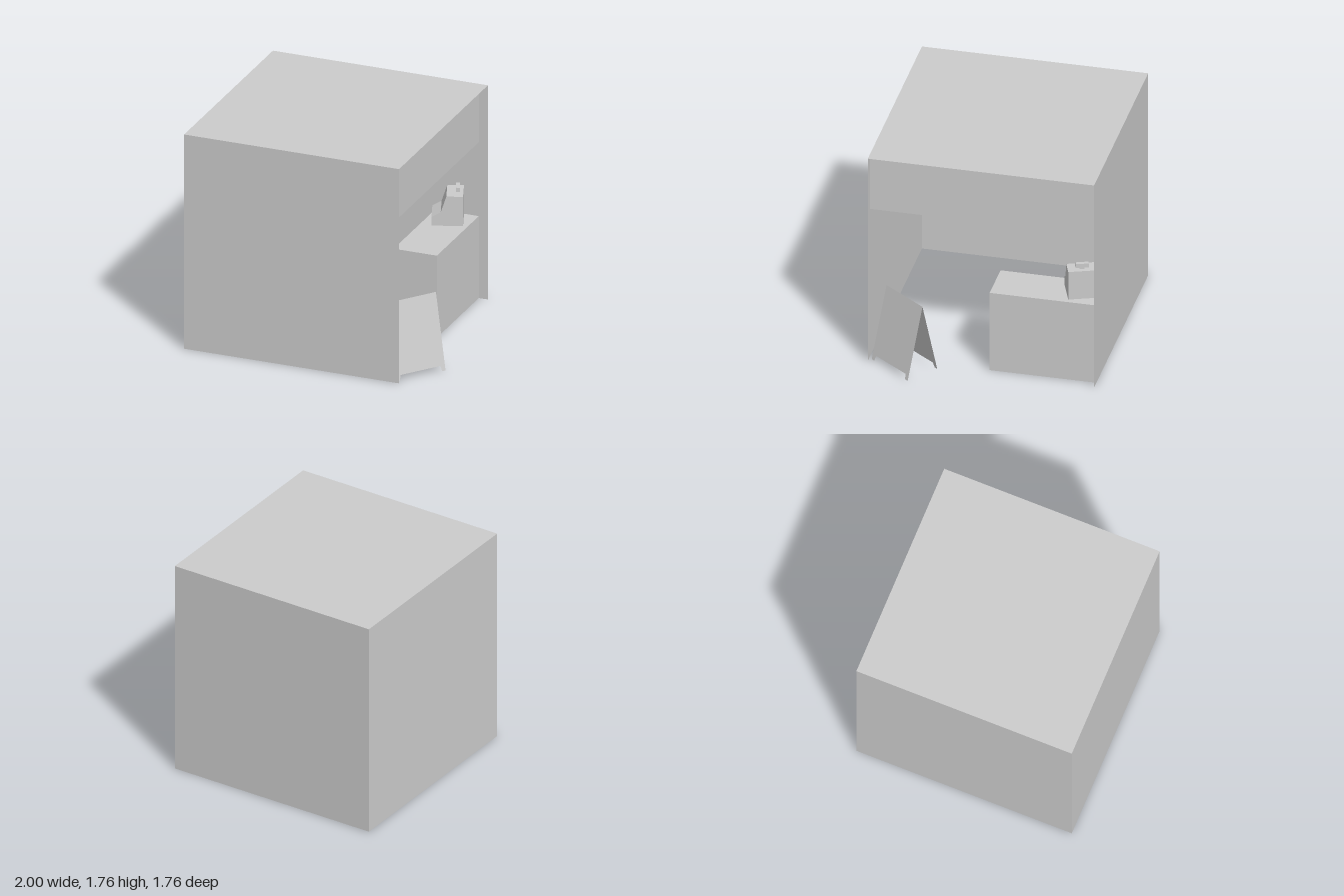
import * as THREE from 'three';

const material = new THREE.MeshStandardMaterial({ color: 0xcccccc, flatShading: true, side: THREE.DoubleSide });

function add(parent, name, geometry, x = 0, y = 0, z = 0) {
  const mesh = new THREE.Mesh(geometry, material);
  mesh.name = name;
  mesh.position.set(x, y, z);
  parent.add(mesh);
  return mesh;
}

function addGroup(parent, name, x, y, z, turn) {
  const group = new THREE.Group();
  group.name = name;
  group.position.set(x, y, z);
  group.rotation.y = turn;
  parent.add(group);
  return group;
}

// Thin sheets named by the axis they face
const sheetX = (depth, height) => new THREE.PlaneGeometry(depth, height).rotateY(Math.PI / 2);
const sheetY = (width, depth) => new THREE.PlaneGeometry(width, depth).rotateX(-Math.PI / 2);
const sheetZ = (width, height) => new THREE.PlaneGeometry(width, height);
const shapeOf = (points) => new THREE.Shape(points.map(([x, y]) => new THREE.Vector2(x, y)));

const S = 1.765;        // side of the cubic stall
const H = S / 2;
const MID = 0.765 - H;  // x of the stall centre

function addStall(model) {
  // Shell: open on the right and underneath
  add(model, 'frontWall', sheetZ(S, S), MID, H, H);
  add(model, 'backWall', sheetZ(S, S).rotateY(Math.PI), MID, H, -H);
  add(model, 'leftWall', sheetX(S, S).rotateY(Math.PI), -1, H, 0);
  add(model, 'roof', sheetY(S, S), MID, S, 0);

  // Hanging header over the opening
  add(model, 'header', new THREE.BoxGeometry(0.355, 0.48, S), 0.5125, 1.525, 0);

  // Wall shelves
  for (const y of [0.53, 0.79, 1.05]) add(model, 'wallShelf', sheetY(0.345, S), -0.8275, y, 0);
}

function addCounter(model) {
  // Counter open at the staff side, with an inner shelf
  const counter = addGroup(model, 'counter', 0, 0, 0, 0);
  const depth = H - 0.05, z = -(H + 0.05) / 2;
  add(counter, 'counterTop', sheetY(0.355, depth), 0.5125, 0.675, z);
  add(counter, 'counterFront', sheetX(depth, 0.675), 0.69, 0.3375, z);
  add(counter, 'counterEnd', sheetZ(0.355, 0.675), 0.5125, 0.3375, -0.05);
  add(counter, 'counterShelf', sheetY(0.355, depth), 0.5125, 0.2, z);
}

function addRegister(model) {
  // Till with a stepped profile facing the staff
  const register = addGroup(model, 'cashRegister', 0.655, 0.677, -0.655, 0.361);
  const profile = shapeOf([[0, 0], [0, 0.24], [-0.127, 0.24], [-0.17, 0.11], [-0.24, 0.07], [-0.24, 0]]);
  add(register, 'registerBody', new THREE.ExtrudeGeometry(profile, { depth: 0.23, bevelEnabled: false }), 0, 0, -0.23);
  add(register, 'displayNeck', new THREE.BoxGeometry(0.015, 0.016, 0.04), -0.042, 0.248, -0.11);
  add(register, 'display', new THREE.BoxGeometry(0.03, 0.034, 0.1), -0.042, 0.272, -0.11);
}

function addMonitor(model) {
  // Boxy set with a sunken screen, standing on the lowest shelf
  const monitor = addGroup(model, 'monitor', -0.71, 0.645, 0.7, -0.231);
  const w = 0.1525, h = 0.11;
  const rim = shapeOf([[-w, -h], [w, -h], [w, h], [-w, h]]);
  const a = 0.125, b = 0.092;
  rim.holes.push(new THREE.Path([[-a, -b], [-a, b], [a, b], [a, -b]].map(([x, y]) => new THREE.Vector2(x, y))));
  const frame = new THREE.ExtrudeGeometry(rim, { depth: 0.03, bevelEnabled: false }).rotateY(Math.PI / 2);
  add(monitor, 'screenFrame', frame, -0.03, 0, 0);
  add(monitor, 'monitorBody', new THREE.BoxGeometry(0.2, 2 * h, 2 * w), -0.13, 0, 0);
}

function addSign(model) {
  // Folding pavement sign: two leaves with notched feet
  const sign = addGroup(model, 'pavementSign', 0.75, 0.595, 0.6, -0.65);
  const L = 0.612;
  const leaf = shapeOf([
    [-0.215, 0], [-0.215, -L], [-0.185, -L], [-0.175, -L + 0.043],
    [0.175, -L + 0.043], [0.185, -L], [0.215, -L], [0.215, 0],
  ]);
  for (const side of [1, -1]) {
    const geometry = new THREE.ShapeGeometry(leaf).rotateY(side * Math.PI / 2).rotateZ(side * 0.239);
    add(sign, side > 0 ? 'outerLeaf' : 'innerLeaf', geometry);
  }
}

export function createModel() {
  const model = new THREE.Group();
  model.name = 'marketStall';
  addStall(model);
  addCounter(model);
  addRegister(model);
  addMonitor(model);
  addSign(model);
  return model;
}
